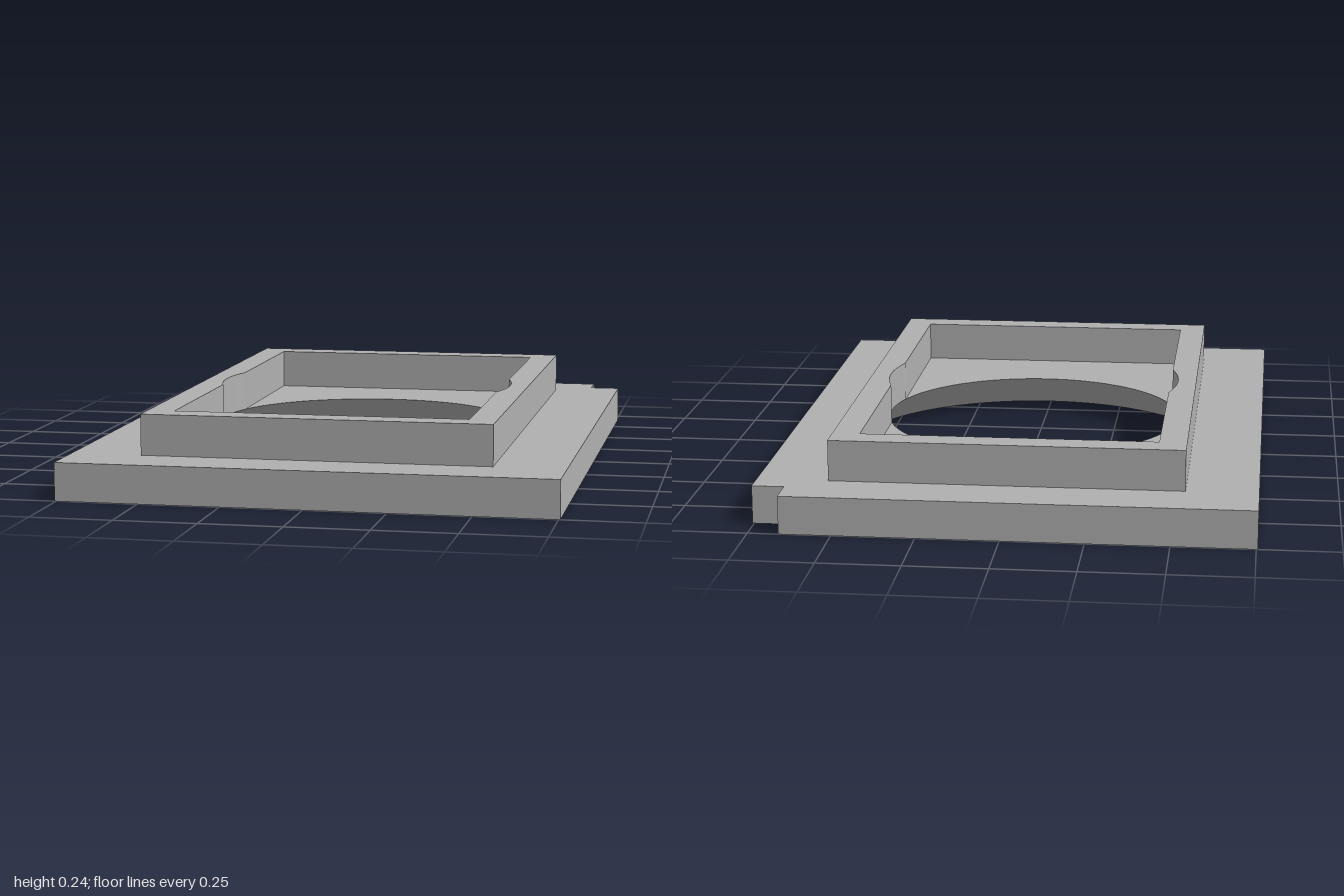
import * as THREE from 'three';
import { toCreasedNormals } from 'three/addons/utils/BufferGeometryUtils.js';

const HALF_X = 0.755, HALF_Z = 1, PLATE_H = 0.117, TOP_H = 0.243;
const HOLE_TOP = 0.477, HOLE_BOTTOM = 0.614;

// Extrude a plan outline upwards (shape y becomes -z)
function extrudeUp(shape, height, curveSegments) {
  const geo = new THREE.ExtrudeGeometry(shape, { depth: height, bevelEnabled: false, curveSegments });
  return geo.rotateX(-Math.PI / 2);
}

function outline(points) {
  return new THREE.Shape(points.map(([x, y]) => new THREE.Vector2(x, y)));
}

// Base plate with a notched back corner and a hole that widens downwards
function plateGeometry() {
  const shape = outline([
    [-HALF_X, -HALF_Z], [HALF_X, -HALF_Z], [HALF_X, 0.903],
    [0.657, 0.903], [0.657, HALF_Z], [-HALF_X, HALF_Z],
  ]);
  const hole = new THREE.Path();
  hole.absarc(0, 0, HOLE_BOTTOM, 0, Math.PI * 2, true);
  shape.holes.push(hole);
  const geo = extrudeUp(shape, PLATE_H, 96);

  // Draw the upper rim of the hole inwards to form the cone
  const pos = geo.attributes.position;
  const k = HOLE_TOP / HOLE_BOTTOM;
  for (let i = 0; i < pos.count; i++) {
    const x = pos.getX(i), z = pos.getZ(i);
    if (pos.getY(i) > PLATE_H / 2 && Math.hypot(x, z) < HOLE_BOTTOM + 0.01) {
      pos.setX(i, x * k);
      pos.setZ(i, z * k);
    }
  }
  return toCreasedNormals(geo, 0.4);
}

// Raised rectangular frame, its long walls scooped out by the round hole
function frameGeometry() {
  const ox = 0.537, oz = 0.828, ix = 0.453, iz = 0.743;
  const shape = outline([[-ox, -oz], [ox, -oz], [ox, oz], [-ox, oz]]);
  const a = Math.acos(ix / HOLE_TOP);
  const inner = new THREE.Path();
  inner.moveTo(-ix, -iz);
  inner.lineTo(ix, -iz);
  inner.absarc(0, 0, HOLE_TOP, -a, a, false);
  inner.lineTo(ix, iz);
  inner.lineTo(-ix, iz);
  inner.absarc(0, 0, HOLE_TOP, Math.PI - a, Math.PI + a, false);
  inner.lineTo(-ix, -iz);
  shape.holes.push(inner);
  const geo = extrudeUp(shape, TOP_H - PLATE_H, 12);
  return toCreasedNormals(geo, 0.2).translate(0, PLATE_H, 0);
}

export function createModel() {
  const grey = new THREE.MeshStandardMaterial({ color: 0xb0b0b0 });
  grey.name = 'grey';
  const group = new THREE.Group();
  group.name = 'flangedFrame';

  const plate = new THREE.Mesh(plateGeometry(), grey);
  plate.name = 'basePlate';
  const frame = new THREE.Mesh(frameGeometry(), grey);
  frame.name = 'raisedFrame';
  group.add(plate, frame);
  return group;
}
